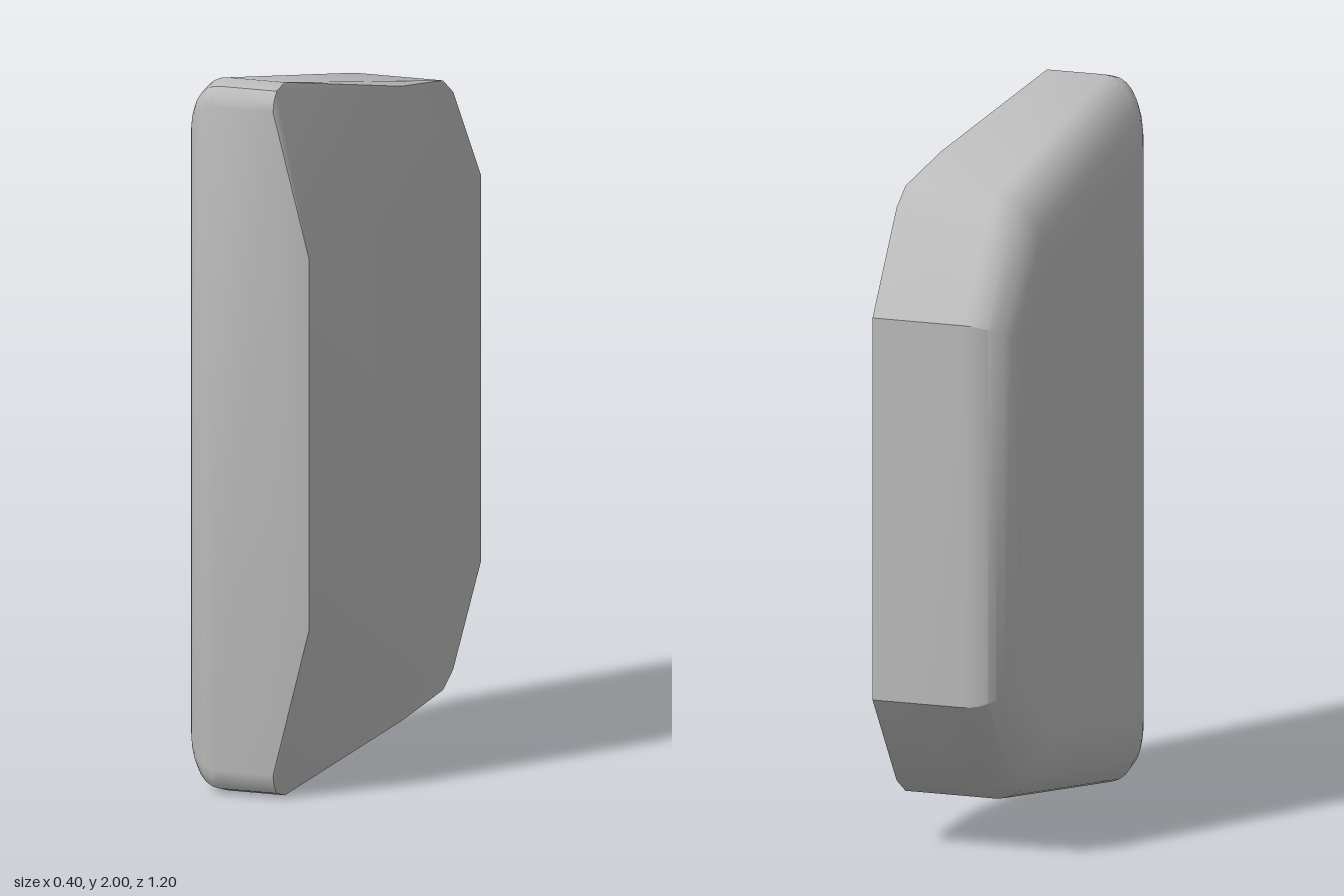
import * as THREE from 'three';
import { ConvexGeometry } from 'three/addons/geometries/ConvexGeometry.js';
import { toCreasedNormals } from 'three/addons/utils/BufferGeometryUtils.js';

// Upper half outlines as [z, y above the middle]; the lower half is mirrored
const OUTER = [[0.6, 0.93], [0.594, 0.96], [0.575, 0.985], [0.52, 1], [-0.34, 0.855], [-0.41, 0.81], [-0.6, 0.54]];
const INNER = [[0.42, 0.74], [0.417, 0.755], [0.41, 0.765], [0.38, 0.775], [-0.28, 0.665], [-0.33, 0.635], [-0.46, 0.45]];
// Flat right face, with its front corners cut away
const RIGHT = [[0.57, 0.52], [-0.06, 0.89], [-0.28, 0.863], ...OUTER.slice(4)];

export function createModel() {
  const group = new THREE.Group();
  const grey = new THREE.MeshStandardMaterial({ color: 0xbcbcbc });
  grey.name = 'grey';

  const points = [];
  const addSection = (x, outline) => {
    for (const [z, y] of outline) {
      points.push(new THREE.Vector3(x, 1 + y, z), new THREE.Vector3(x, 1 - y, z));
    }
  };

  addSection(0.2, RIGHT);
  // Front edge where the corner cuts begin
  addSection(0.105, OUTER.slice(0, 4));

  // Elliptical rounding towards the left face
  const steps = 9;
  for (let i = 0; i <= steps; i++) {
    const a = (i / steps) * Math.PI / 2;
    const t = 1 - Math.cos(a);
    addSection(-0.065 - 0.135 * Math.sin(a), OUTER.map(([z, y], k) => [
      z + (INNER[k][0] - z) * t,
      y + (INNER[k][1] - y) * t,
    ]));
  }

  const body = new THREE.Mesh(toCreasedNormals(new ConvexGeometry(points), 0.5), grey);
  body.name = 'body';
  group.add(body);
  return group;
}
